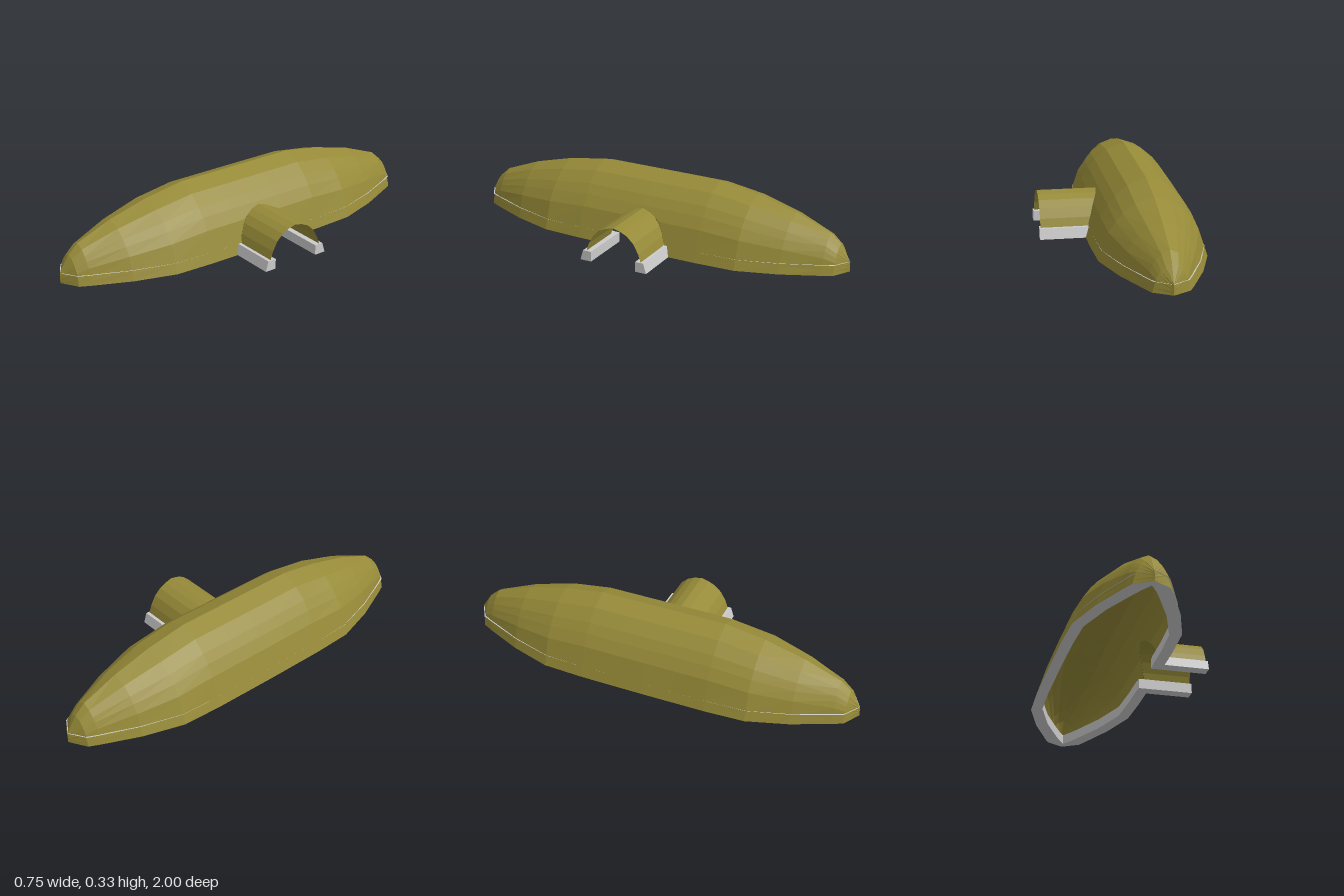
import * as THREE from 'three';

const CX = -0.11; // ridge line of the main shell
const BASE_W = 0.265, BASE_H = 0.33;

// Half cross-section of the main shell: [half width, height], base to ridge
const SECTION = [[0.265, 0], [0.249, 0.05], [0.217, 0.15], [0.182, 0.205], [0.148, 0.247], [0.09, 0.297], [0, 0.33]];
// Half stations along the shell: [z, half width, ridge height]
const STATIONS = [[0, 0.265, 0.33], [0.32, 0.263, 0.33], [0.52, 0.254, 0.298], [0.72, 0.191, 0.245],
  [0.9, 0.11, 0.175], [0.95, 0.085, 0.13], [1, 0, 0.05]];
// Half arch of the entrance tunnel: [z, y], crown to foot
const ARCH = [[0, 0.193], [0.04, 0.183], [0.075, 0.166], [0.108, 0.135], [0.133, 0.09], [0.15, 0.04]];

// Linear interpolation in a table, by column `from`, of column `to`
function lookup(table, v, from, to) {
  for (let i = 1; i < table.length; i++) {
    const a = table[i - 1], b = table[i];
    if (v <= b[from] + 1e-9) return a[to] + (b[to] - a[to]) * (v - a[from]) / (b[from] - a[from]);
  }
  return table[table.length - 1][to];
}

const shellHalfWidth = (y) => lookup(SECTION, y, 1, 0);
const archHeight = (z) => (Math.abs(z) > 0.151 ? 0 : lookup(ARCH, Math.abs(z), 0, 1));

// Skin a surface over rows of points
function loft(rows) {
  const n = rows[0].length, index = [];
  for (let i = 0; i < rows.length - 1; i++) {
    for (let j = 0; j < n - 1; j++) {
      const a = i * n + j, b = a + 1, c = a + n, d = c + 1;
      index.push(a, b, c, b, d, c);
    }
  }
  const g = new THREE.BufferGeometry();
  g.setAttribute('position', new THREE.Float32BufferAttribute(rows.flat(2), 3));
  g.setIndex(index);
  const flat = g.toNonIndexed();
  flat.computeVertexNormals();
  return flat;
}

export function createModel() {
  const group = new THREE.Group();
  const options = { side: THREE.DoubleSide, flatShading: true };
  const canvas = new THREE.MeshStandardMaterial({ ...options, color: 0x968a38 });
  const grey = new THREE.MeshStandardMaterial({ ...options, color: 0xcccccc });

  const add = (name, geometry, material) => {
    const mesh = new THREE.Mesh(geometry, material);
    mesh.name = name;
    group.add(mesh);
  };

  // Main shell, its +x flank cut away under the tunnel arch
  const half = [...STATIONS.map((s) => s[0]), ...ARCH.slice(1).map((p) => p[0]), 0.1515].sort((a, b) => a - b);
  const zs = [...half.slice(1).reverse().map((z) => -z), ...half];
  const shellRows = zs.map((z) => {
    const w = lookup(STATIONS, Math.abs(z), 0, 1) / BASE_W;
    const h = lookup(STATIONS, Math.abs(z), 0, 2) / BASE_H;
    const rightSide = SECTION.map(([, y]) => {
      const yy = Math.max(y, archHeight(z));
      return [CX + shellHalfWidth(yy) * w, yy * h, z];
    });
    const leftSide = SECTION.slice(0, -1).reverse().map(([x, y]) => [CX - x * w, y * h, z]);
    return [...rightSide, ...leftSide];
  });
  add('mainShell', loft(shellRows), canvas);

  // Entrance tunnel, meeting the flank of the shell
  const archPoints = [...ARCH.slice(1).reverse().map(([z, y]) => [-z, y]), ...ARCH];
  add('entranceTunnel', loft(archPoints.map(([z, y]) => [[0.368, y, z], [CX + shellHalfWidth(y), y, z]])), canvas);

  // Ground rim inside the shell: top, inner face and underside
  const rimRow = (z, side) => {
    const w = lookup(STATIONS, Math.abs(z), 0, 1);
    const inner = CX + side * Math.max(0, w - 0.055), zi = Math.abs(z) < 0.2 ? z : z * 0.955;
    const top = CX + side * w * 0.94;
    return [[top, 0.05, z], [inner, 0.05, zi], [inner, 0, zi], [CX + side * w, 0, z]];
  };
  const rimZ = STATIONS.map((s) => s[0]);
  const fullZ = [...rimZ.slice(1).reverse().map((z) => -z), ...rimZ];
  add('leftOfRidgeRim', loft(fullZ.map((z) => rimRow(z, -1))), grey);
  for (const s of [-1, 1]) {
    const run = [0.15, ...rimZ.slice(1)].map((z) => rimRow(s * z, 1));
    add(s > 0 ? 'frontEntranceRim' : 'backEntranceRim', loft(run), grey);
  }

  // Tunnel footings, one each side of the entrance
  for (const s of [-1, 1]) {
    const shape = new THREE.Shape([[0.12, 0], [0.178, 0], [0.163, 0.05], [0.12, 0.05]]
      .map(([z, y]) => new THREE.Vector2(-s * z, y)));
    const footing = new THREE.ExtrudeGeometry(shape, { depth: 0.271, bevelEnabled: false });
    footing.rotateY(Math.PI / 2).translate(0.102, 0, 0);
    add(s > 0 ? 'frontFooting' : 'backFooting', footing, grey);
  }

  return group;
}
